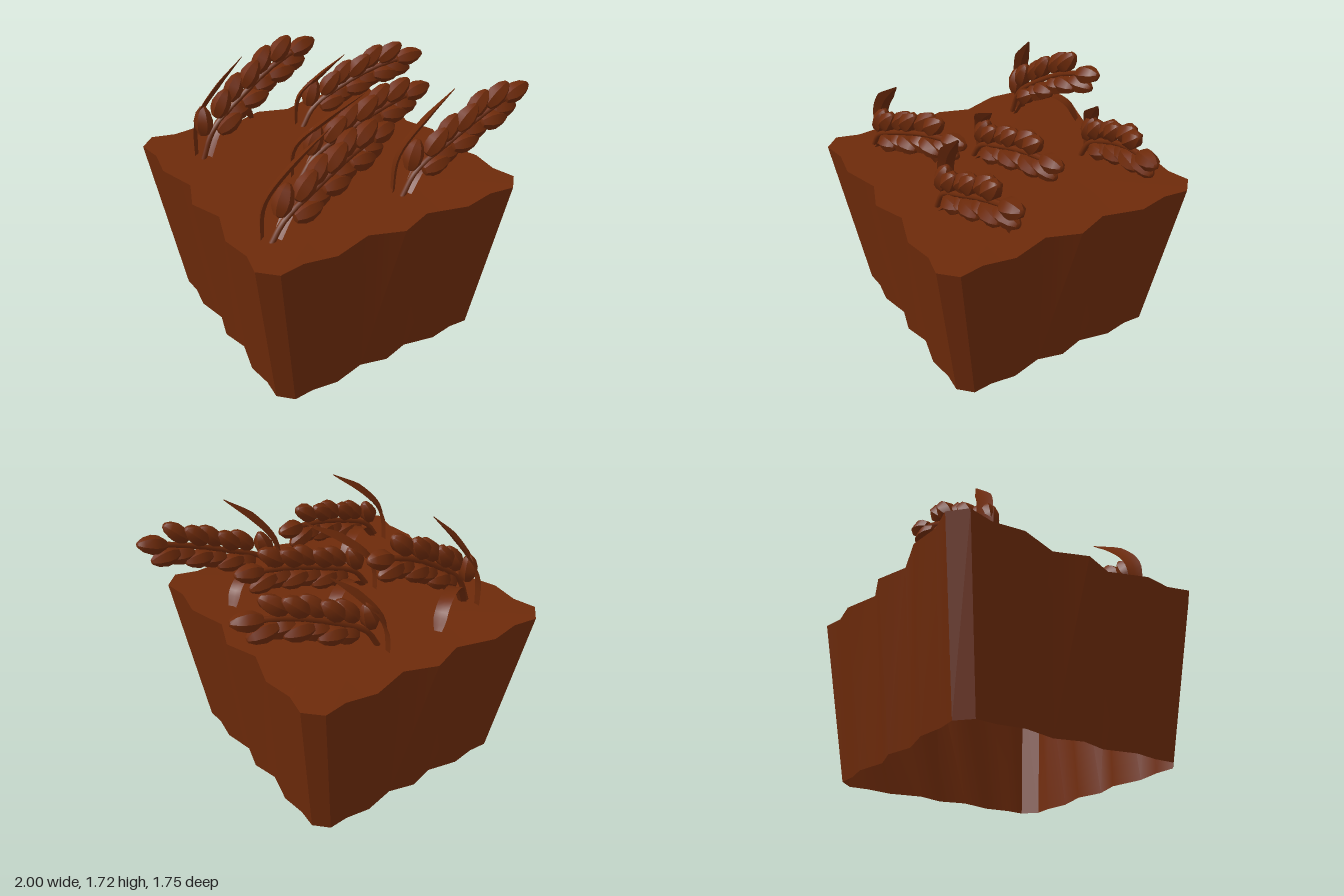
import * as THREE from 'three';
import { toCreasedNormals } from 'three/addons/utils/BufferGeometryUtils.js';

const brown = new THREE.MeshStandardMaterial({ color: 0x6d2a0a, side: THREE.DoubleSide });
const V = (x, y, z) => new THREE.Vector3(x, y, z);

function add(parent, name, geometry) {
  const mesh = new THREE.Mesh(geometry, brown);
  mesh.name = name;
  parent.add(mesh);
  return mesh;
}

// Surface through rows of points
function loft(rows) {
  const n = rows[0].length, index = [];
  for (let i = 0; i < rows.length - 1; i++) {
    for (let j = 0; j < n - 1; j++) {
      const a = i * n + j, b = a + n;
      index.push(a, a + 1, b, a + 1, b + 1, b);
    }
  }
  const g = new THREE.BufferGeometry().setFromPoints(rows.flat());
  g.setIndex(index);
  return toCreasedNormals(g, 0.7);
}

// Scalloped outline: one side as [along, out at the top, out at the bottom], repeated by quarter turns
const half = [[0.78, 0.875, 0.73], [0.63, 0.845, 0.722], [0.44, 0.875, 0.745], [0.2, 0.8, 0.7]];
const side = [...half, [0, 0.875, 0.745], ...half.map(([t, a, b]) => [-t, a, b]).reverse()];
function outline(point) {
  const pts = [];
  for (let q = 0; q < 4; q++) {
    for (const s of side) pts.push(point(...s).applyAxisAngle(V(0, 1, 0), q * Math.PI / 2));
  }
  return [...pts, pts[0].clone()];
}

// Planter with an open underside and a soil surface; the pleats soften downwards
function planter() {
  const group = new THREE.Group();
  group.name = 'planter';
  const top = outline((t, a) => V(-t, 1.045 + 0.02 * (t / 0.78) ** 2, a));
  const bottom = outline((t, a, b) => V(-t * 0.83, 0, b));
  add(group, 'pleatedWalls', loft([top, bottom]));
  add(group, 'soil', loft([top.map(() => V(0, 1.045, 0)), top]));
  group.position.x = -0.125;
  return group;
}

// Six-sided pointed grain along +y, starting at the origin
const profile = [[0, 0], [0.032, 0.01], [0.056, 0.055], [0.06, 0.1], [0.044, 0.155], [0.018, 0.19], [0, 0.195]];
const grainGeometry = toCreasedNormals(
  new THREE.LatheGeometry(profile.map(([r, y]) => new THREE.Vector2(r, y)), 6), 0.7);

// Folded leaf along a curve, narrowing to a fraction of its width at the end
function leaf(points, width, end, across) {
  const curve = new THREE.CatmullRomCurve3(points);
  const sideways = across.normalize();
  const rows = [];
  for (let i = 0; i <= 14; i++) {
    const t = i / 14, p = curve.getPoint(t);
    const w = width * Math.min(1, 0.7 + t, end + (1 - t) * 3.2);
    const keel = curve.getTangent(t).cross(sideways).normalize().multiplyScalar(w * 0.25);
    const left = p.clone().addScaledVector(sideways, -w / 2);
    const right = p.clone().addScaledVector(sideways, w / 2);
    rows.push([left, p.clone().add(keel), right, p.clone().addScaledVector(keel, 0.3), left.clone()]);
  }
  return loft(rows);
}

// One ear of grain: stem from base to tip with a bow, upright leaf tip, curled leaf
function ear({ base, tip, bow, leafTip, curl = true, curlLift = 0 }) {
  const group = new THREE.Group();
  group.name = 'grainPlant';
  const d = tip.clone().sub(base);
  const at = (fx, fy, fz) => V(base.x + d.x * fx, base.y + d.y * fy, base.z + d.z * fz);
  const path = new THREE.CatmullRomCurve3([
    base, at(0.1, 0.3 + bow * 0.4, 0.04), at(0.35, 0.55 + bow, 0.25), at(0.62, 0.79 + bow, 0.55),
    at(0.85, 0.95 + bow * 0.5, 0.82), tip]);
  const stem = new THREE.CatmullRomCurve3(path.getSpacedPoints(20).slice(0, 18));
  add(group, 'stem', new THREE.TubeGeometry(stem, 18, 0.018, 6));

  // Grains in pairs above and below the stem, and one at the tip
  const place = (t, splay, lean) => {
    const dir = path.getTangentAt(t);
    const sideways = V(0, 0, 1).addScaledVector(dir, -dir.z).normalize();
    const up = sideways.clone().cross(dir).normalize();
    const out = up.multiplyScalar(splay).addScaledVector(sideways, lean);
    const mesh = add(group, 'grain', grainGeometry);
    mesh.position.copy(path.getPointAt(t)).addScaledVector(out, 0.038);
    mesh.quaternion.setFromUnitVectors(V(0, 1, 0), dir.addScaledVector(out, 0.4).normalize());
  };
  for (let i = 0; i < 6; i++) {
    const t = 0.14 + i * 0.11, lean = i % 2 ? 0.2 : -0.2;
    place(t, 1, lean);
    place(t + 0.045, -1, -lean);
  }
  place(0.82, 0, 0);

  // Upright pointed leaf
  const local = (x, y, z) => V(base.x + x, base.y + y, base.z + z);
  const { x, y, z } = leafTip;
  add(group, 'uprightLeaf', leaf([local(-0.02, -0.03, -0.08), local(0, y * 0.38, -0.07),
    local(x * 0.38, y * 0.7, z * 0.5 - 0.035), local(x, y, z)], 0.1, 0.1, V(-0.4, 0.3, 0.85)));

  // Drooping curled leaf
  if (curl) {
    add(group, 'curledLeaf', leaf([local(0.03, 0, 0), local(0.14, 0.1 + curlLift, -0.05),
      local(0.28, 0.15 + curlLift, -0.13), local(0.4, 0.11 + curlLift, -0.2),
      local(0.46, 0.0 + curlLift, -0.24)], 0.08, 0.6, V(0.5, 0, 0.8)));
  }
  return group;
}

export function createModel() {
  const model = new THREE.Group();
  model.name = 'planterWithGrain';
  model.add(planter());
  const plants = [
    { base: V(-0.81, 1.04, 0.59), tip: V(0.12, 1.4, 0.39), bow: 0.1, leafTip: V(0.4, 0.58, -0.03), curlLift: 0.03 },
    { base: V(0.07, 1.04, 0.57), tip: V(1, 1.51, 0.56), bow: 0.01, leafTip: V(0.33, 0.61, 0.01) },
    { base: V(-0.34, 1.04, 0.09), tip: V(0.63, 1.41, 0.07), bow: 0.08, leafTip: V(0.4, 0.51, 0.09) },
    { base: V(-0.73, 1.04, -0.45), tip: V(0.15, 1.61, -0.53), bow: 0.09, leafTip: V(0.29, 0.65, 0.05), curlLift: 0.08 },
    { base: V(0.03, 1.04, -0.51), tip: V(0.89, 1.42, -0.36), bow: 0.13, leafTip: V(0.27, 0.5, 0.1), curl: false },
  ];
  for (const p of plants) model.add(ear(p));
  return model;
}
